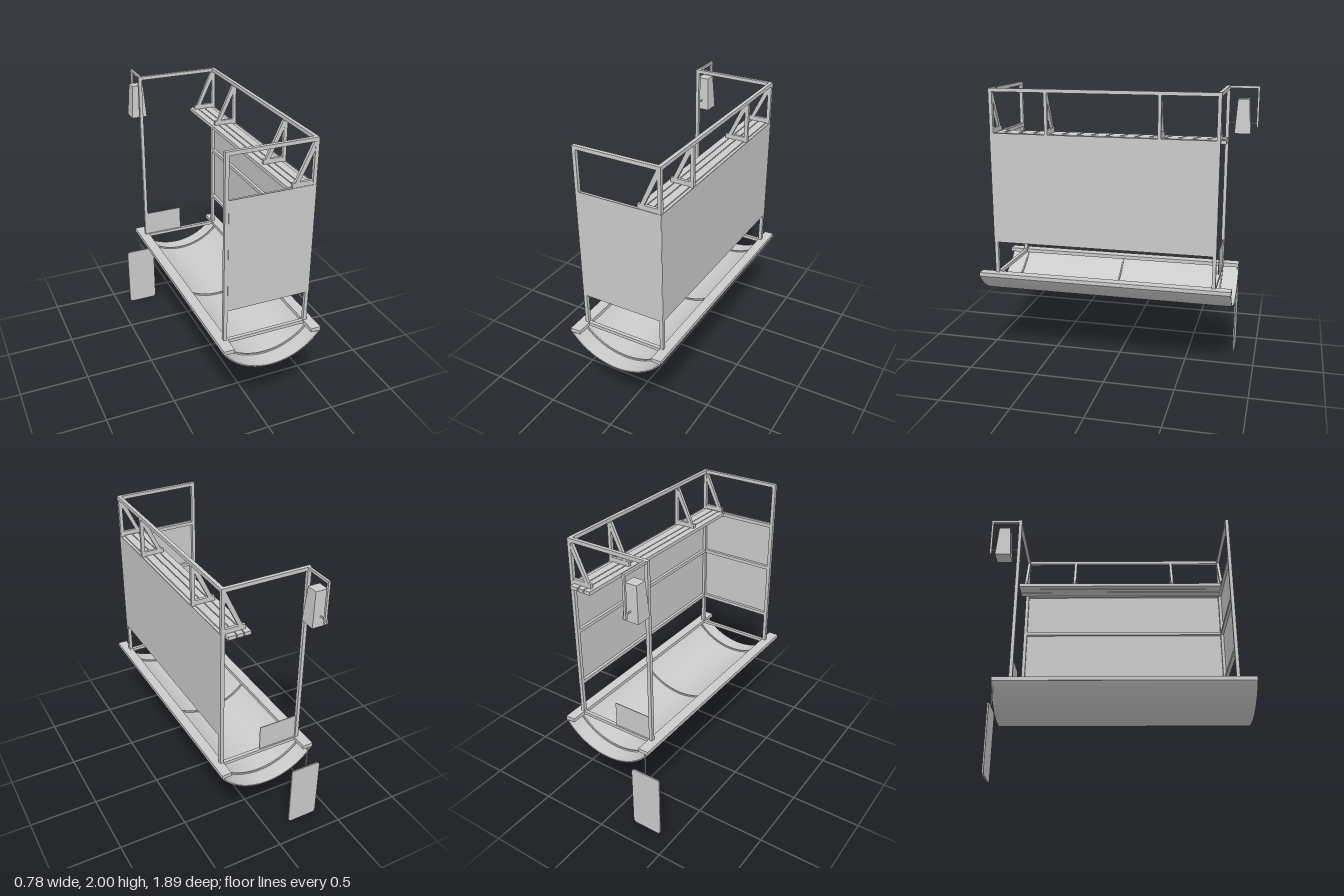
import * as THREE from 'three';
import { toCreasedNormals } from 'three/addons/utils/BufferGeometryUtils.js';

const material = new THREE.MeshStandardMaterial({ color: 0xcccccc, side: THREE.DoubleSide });
const T = 0.025; // frame bar thickness

export function createModel() {
  const model = new THREE.Group();

  const add = (name, geometry, x = 0, y = 0, z = 0) => {
    const mesh = new THREE.Mesh(geometry, material);
    mesh.name = name;
    mesh.position.set(x, y, z);
    model.add(mesh);
    return mesh;
  };
  // box given by its lower and upper corner
  const box = (name, x0, x1, y0, y1, z0, z1) =>
    add(name, new THREE.BoxGeometry(x1 - x0, y1 - y0, z1 - z0), (x0 + x1) / 2, (y0 + y1) / 2, (z0 + z1) / 2);

  const left = 0.34, right = -0.27, front = 0.835, back = -0.74;

  // curved trough and its inner ribs
  const arc = (name, outer, inner, z0, z1) => {
    const half = 0.95, mid = -Math.PI / 2;
    const shape = new THREE.Shape();
    shape.absarc(0, 0, outer, mid - half, mid + half, false);
    shape.absarc(0, 0, inner, mid + half, mid - half, true);
    const geometry = new THREE.ExtrudeGeometry(shape, { depth: z1 - z0, bevelEnabled: false, curveSegments: 16 });
    add(name, toCreasedNormals(geometry, 0.5), 0.035, 0.92, z0);
  };
  arc('trough', 0.43, 0.422, -0.85, 0.945);
  for (const z of [-0.733, 0.036, 0.815]) arc('troughRib', 0.423, 0.411, z, z + 0.01);

  // base beams and cross bars
  box('baseBeam', -0.315, -0.24, 0.668, 0.695, -0.85, 0.945);
  box('baseBeam', 0.315, 0.385, 0.668, 0.695, -0.85, 0.945);
  for (const z of [back, front - T]) {
    box('baseCrossBar', -0.24, 0.315, 0.67, 0.694, z, z + T);
    box('topCrossBar', right, left, 2 - T, 2, z, z + T);
    for (const x of [right, left - T]) box('cornerPost', x, x + T, 0.695, 2 - T, z, z + T);
  }
  box('topSideBar', left - T, left, 2 - T, 2, back + T, front - T);

  // panel rails on the front and the long side
  for (const y of [0.92, 1.322, 1.665]) {
    box('frontRail', right + T, left - T, y, y + T, front - T, front - 0.003);
    box('sideRail', left - T, left - 0.003, y, y + T, back + T, front - T);
  }
  box('frontPanel', right + T, left, 0.92, 1.695, front - 0.003, front + 0.002);
  box('sidePanel', left - 0.003, left + 0.002, 0.92, 1.695, back, front);

  // slatted shelf
  for (const [x0, x1] of [[0.155, 0.2], [0.206, 0.25], [0.256, 0.312]])
    box('shelfSlat', x0, x1, 1.67, 1.695, -0.775, 0.81);

  // triangular brackets holding the shelf
  for (const z of [-0.7275, -0.3425, 0.4325, 0.8225]) {
    box('bracketFoot', 0.175, left - T, 1.695, 1.727, z - 0.0105, z + 0.0105);
    if (Math.abs(z) < 0.6) box('bracketPost', left - T, left, 1.69, 2 - T, z - 0.011, z + 0.011);
    const brace = new THREE.Shape([[0.193, 1.725], [0.222, 1.725], [0.315, 1.915], [0.315, 1.975], [0.308, 1.975]]
      .map(([x, y]) => new THREE.Vector2(x, y)));
    add('bracketBrace', new THREE.ExtrudeGeometry(brace, { depth: 0.021, bevelEnabled: false }), 0, 0, z - 0.0105);
  }

  // small plate on the back cross bar
  box('backPlate', -0.243, 0.035, 0.695, 0.875, -0.731, -0.725);

  // hanger arm with its tapered bell
  box('hangerArm', -0.261, -0.245, 1.982, 2, -0.945, back);
  box('hangerDrop', -0.261, -0.245, 1.71, 1.982, -0.945, -0.93);
  add('bellRod', new THREE.CylinderGeometry(0.005, 0.005, 0.195, 8).rotateX(Math.PI / 2), -0.253, 1.74, -0.836);
  const bell = new THREE.BoxGeometry(0.115, 0.24, 0.113);
  const p = bell.attributes.position;
  for (let i = 0; i < p.count; i++)
    if (p.getY(i) > 0) p.setXYZ(i, p.getX(i) * 0.72, p.getY(i), p.getZ(i) * 0.72);
  bell.computeVertexNormals();
  add('bell', bell, -0.253, 1.79, -0.838);

  // rounded paddle hanging below the base beam
  add('paddleRod', new THREE.CylinderGeometry(0.005, 0.005, 0.19, 8), -0.284, 0.58, -0.841);
  const w = 0.114, h = 0.242, r = 0.025;
  const paddle = new THREE.Shape();
  paddle.absarc(w - r, h - r, r, 0, Math.PI / 2);
  paddle.absarc(r - w, h - r, r, Math.PI / 2, Math.PI);
  paddle.absarc(r - w, r - h, r, Math.PI, Math.PI * 1.5);
  paddle.absarc(w - r, r - h, r, Math.PI * 1.5, Math.PI * 2);
  add('paddle', new THREE.ExtrudeGeometry(paddle, { depth: 0.01, bevelEnabled: false, curveSegments: 6 }), -0.284, 0.245, -0.846);
  model.getObjectByName('paddle').position.y = h;

  return model;
}
